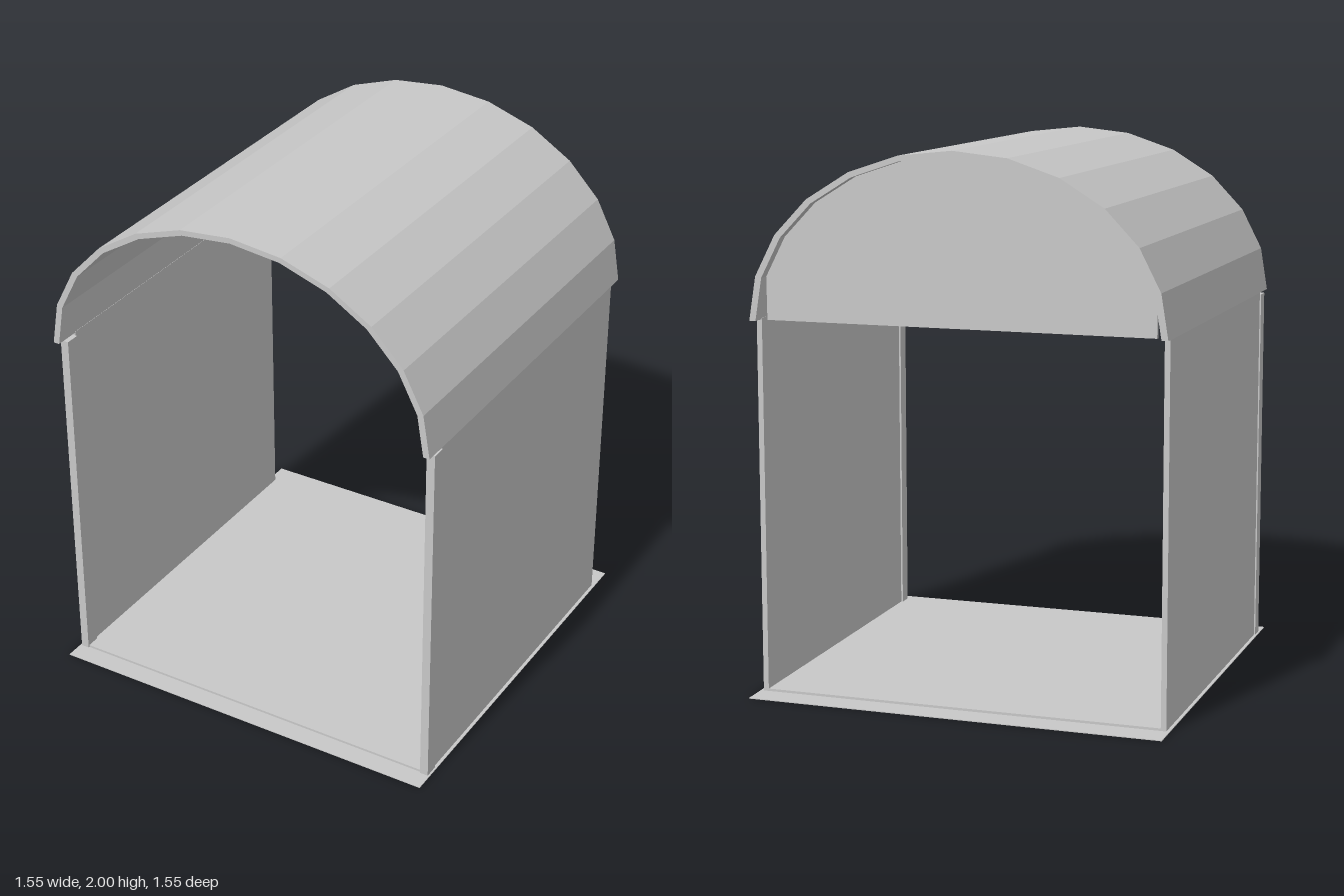
import * as THREE from 'three';

export function createModel() {
  const group = new THREE.Group();
  group.name = 'shelter';
  const grey = new THREE.MeshStandardMaterial({ color: 0xc8c8c8, flatShading: true });
  grey.name = 'light grey';

  const add = (name, geometry) => {
    const mesh = new THREE.Mesh(geometry, grey);
    mesh.name = name;
    group.add(mesh);
    return mesh;
  };
  // Box given by its minimum and maximum corners
  const box = (name, [x0, y0, z0], [x1, y1, z1]) =>
    add(name, new THREE.BoxGeometry(x1 - x0, y1 - y0, z1 - z0))
      .position.set((x0 + x1) / 2, (y0 + y1) / 2, (z0 + z1) / 2);
  // Half ellipse in 12 straight segments, from left (+x) to right
  const eave = 1.38;
  const arch = (a, b) => Array.from({ length: 13 }, (_, i) => {
    const t = (i * Math.PI) / 12;
    return new THREE.Vector2(a * Math.cos(t), eave + b * Math.sin(t));
  });
  const extrude = (points, z0, z1) =>
    new THREE.ExtrudeGeometry(new THREE.Shape(points), { depth: z1 - z0, bevelEnabled: false })
      .translate(0, 0, z0);

  // Thin base sheet and the raised floor between the walls
  box('baseSheet', [-0.777, 0, -0.777], [0.777, 0.003, 0.777]);
  box('floor', [-0.745, 0.002, -0.675], [0.745, 0.012, 0.7]);

  // Side walls with a post at the front edge
  for (const [side, s] of [['left', 1], ['right', -1]]) {
    const span = (name, inner, outer, y1, z0, z1) =>
      box(name, [Math.min(s * inner, s * outer), 0, z0], [Math.max(s * inner, s * outer), y1, z1]);
    span(side + 'Wall', 0.745, 0.765, 1.385, -0.675, 0.65);
    span(side + 'FrontPost', 0.738, 0.77, 1.37, 0.65, 0.705);
  }

  // Curved roof shell
  const inner = arch(0.747, 0.6);
  add('roof', extrude([...arch(0.771, 0.62), ...inner.slice().reverse()], -0.725, 0.745));

  // Rear gable panel under the roof, with upright ends
  const gable = inner.slice(1, -1);
  add('rearGable', extrude(
    [new THREE.Vector2(0.72, eave), ...gable, new THREE.Vector2(-0.72, eave)], -0.682, -0.668));

  return group;
}
